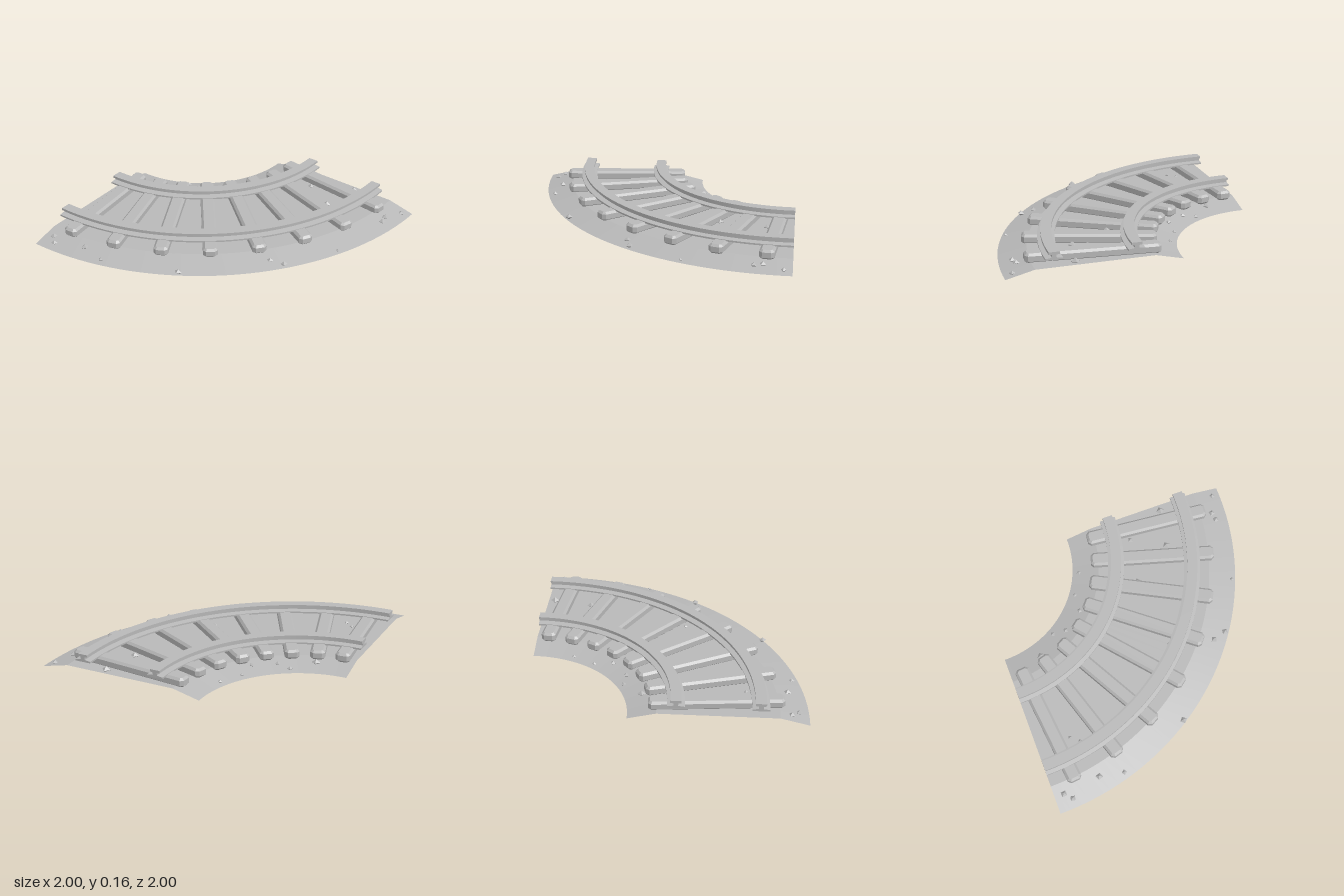
import * as THREE from 'three';
import { toCreasedNormals } from 'three/addons/utils/BufferGeometryUtils.js';

const BED_TOP = 0.048, R_IN = 0.76, R_OUT = 2, SLOPE = 0.2;
const SEGMENTS = 40;

// Height of the ballast bed at a given distance from the curve centre
function bedHeight(r) {
  const edge = Math.min(r - R_IN, R_OUT - r) / SLOPE;
  return BED_TOP * THREE.MathUtils.clamp(edge, 0, 1);
}

// Sweep a (radius, height) profile through the quarter turn, with sharp edges
function sweep(points) {
  const lathe = new THREE.LatheGeometry(points, SEGMENTS, 0, Math.PI / 2);
  return toCreasedNormals(lathe, 0.15);
}

export function createModel() {
  const model = new THREE.Group();
  model.name = 'curvedTrack';
  const stone = new THREE.MeshStandardMaterial({ color: 0xb8b8b8, side: THREE.DoubleSide });
  stone.name = 'grey';

  // Everything turns about the corner at x = -1, z = -1
  const curve = new THREE.Group();
  curve.name = 'curve';
  curve.position.set(-1, 0, -1);
  model.add(curve);

  const add = (name, geometry, parent = curve) => {
    const mesh = new THREE.Mesh(geometry, stone);
    mesh.name = name;
    parent.add(mesh);
    return mesh;
  };

  // Ballast bed: open shell with sloping shoulders
  const V = (x, y) => new THREE.Vector2(x, y);
  add('ballastBed', sweep([
    V(R_OUT, 0), V(R_OUT - SLOPE, BED_TOP), V(R_IN + SLOPE, BED_TOP), V(R_IN, 0),
  ]));

  // Rails: foot, web and head swept along the curve, capped at both ends
  const half = [[0.06, 0.1], [0.06, 0.112], [0.016, 0.118], [0.016, 0.136], [0.0375, 0.14], [0.0375, 0.157]];
  for (const [name, radius] of [['innerRail', 1.095], ['outerRail', 1.668]]) {
    const rail = new THREE.Group();
    rail.name = name;
    curve.add(rail);
    const outline = [
      ...half.map(([w, y]) => V(radius + w, y)),
      ...half.slice().reverse().map(([w, y]) => V(radius - w, y)),
    ];
    add(name + 'Body', sweep([...outline, outline[0].clone()]), rail);
    const cap = new THREE.ShapeGeometry(new THREE.Shape(outline));
    add(name + 'EndLeft', cap, rail).rotation.y = Math.PI;
    rail.children[1].scale.x = -1;
    add(name + 'EndRight', cap, rail).rotation.y = -Math.PI / 2;
  }

  // Sleepers: bevelled bars with clipped corners, laid radially
  const bevel = 0.016, w = 0.053 - bevel, r0 = 0.903 + bevel, r1 = 1.838 - bevel, c = 0.012;
  const plan = new THREE.Shape([
    V(-w + c, r0), V(w - c, r0), V(w, r0 + c), V(w, r1 - c),
    V(w - c, r1), V(-w + c, r1), V(-w, r1 - c), V(-w, r0 + c),
  ]);
  const sleeper = new THREE.ExtrudeGeometry(plan, {
    depth: 0.038, bevelEnabled: true, bevelSize: bevel, bevelThickness: bevel, bevelSegments: 1,
  });
  sleeper.rotateX(Math.PI / 2).translate(0, 0.092, 0);
  for (let i = 0; i < 8; i++) {
    add('sleeper' + (i + 1), sleeper).rotation.y = (i + 0.5) * Math.PI / 16;
  }

  // Loose stones scattered over the bed: x, z, size
  const stones = [
    [0.51, -0.95, 0.032], [0.94, -0.94, 0.022], [0.88, -0.8, 0.025], [0.89, -0.74, 0.025],
    [0.21, -0.8, 0.024], [0.45, -0.66, 0.03], [-0.25, -0.7, 0.016], [-0.34, -0.54, 0.016],
    [-0.35, -0.4, 0.02], [-0.5, -0.29, 0.02], [-0.6, -0.3, 0.02], [-0.74, -0.16, 0.03],
    [0.14, -0.46, 0.025], [0.18, 0.09, 0.015], [0.82, -0.24, 0.016], [0.61, 0.14, 0.026],
    [0.51, 0.17, 0.024], [0.07, 0.67, 0.027], [-0.47, 0.88, 0.02], [-0.65, 0.85, 0.027],
    [-0.93, 0.88, 0.026], [-0.88, 0.93, 0.024], [-0.75, 0.51, 0.016], [-0.69, 0.56, 0.016],
  ];
  const pebble = new THREE.OctahedronGeometry(1, 0);
  stones.forEach(([x, z, size], i) => {
    const mesh = add('looseStone' + (i + 1), pebble, model);
    mesh.position.set(x, bedHeight(Math.hypot(x + 1, z + 1)) + size * 0.2, z);
    mesh.position.y = Math.max(mesh.position.y, size * 0.8);
    mesh.scale.set(size, size * 0.8, size);
    mesh.rotation.y = i * 1.3;
  });

  return model;
}
